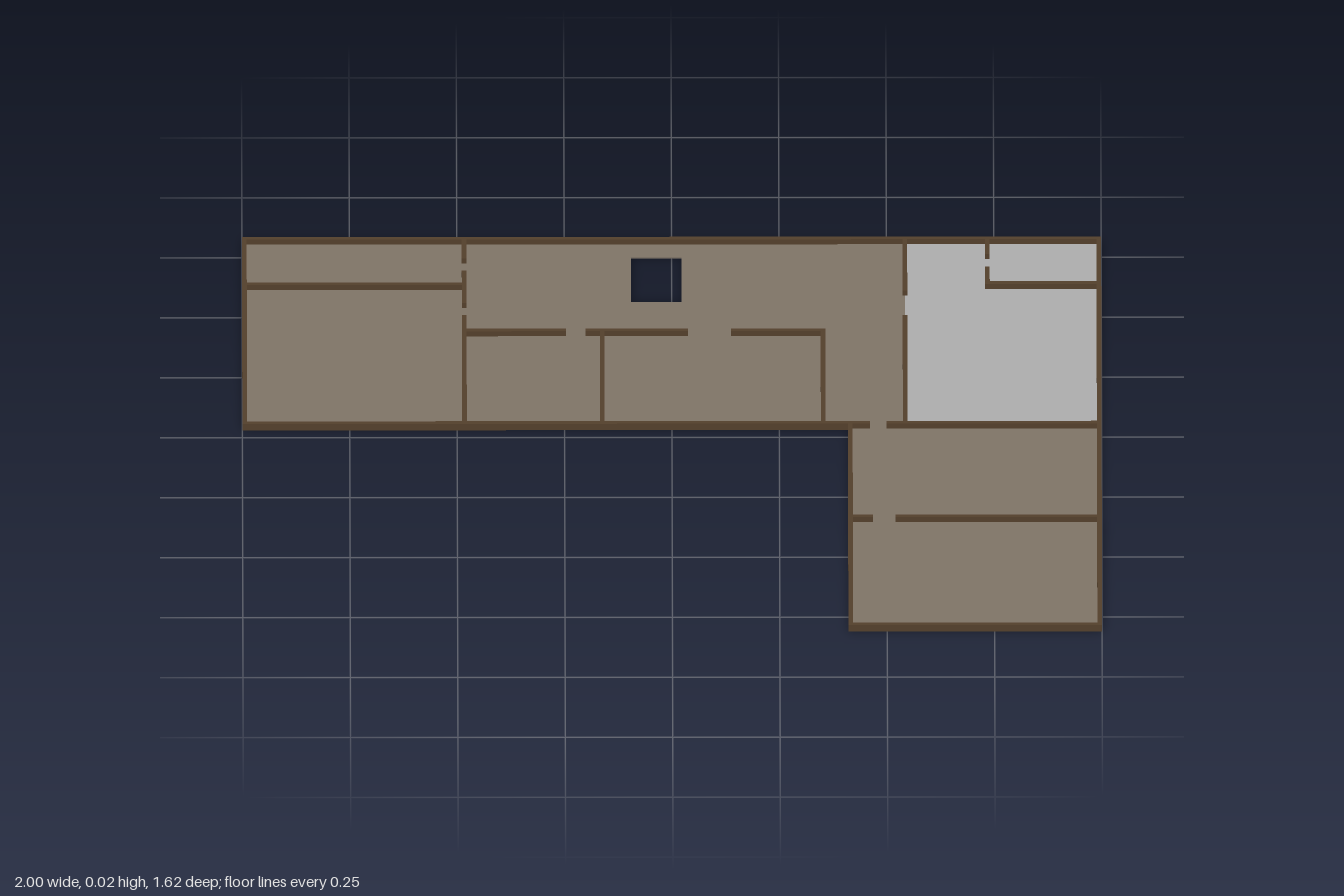
import * as THREE from 'three';

const material = (name, color) => Object.assign(new THREE.MeshStandardMaterial({ color }), { name });

const HEIGHT = 0.018; // wall height
const THICK = 0.011; // wall thickness
const SLAB = 0.004; // floor thickness

// Floor slab from an outline in [x, z], with an optional opening
function floor(name, outline, mat, opening) {
  const points = (list) => list.map(([x, z]) => new THREE.Vector2(x, z));
  const shape = new THREE.Shape(points(outline));
  if (opening) shape.holes.push(new THREE.Path(points(opening)));
  const geometry = new THREE.ExtrudeGeometry(shape, { depth: SLAB, bevelEnabled: false });
  geometry.rotateX(Math.PI / 2).translate(0, SLAB, 0);
  const mesh = new THREE.Mesh(geometry, mat);
  mesh.name = name;
  return mesh;
}

export function createModel() {
  const model = new THREE.Group();
  model.name = 'floorPlan';
  const brownFloor = material('brown floor', 0x7e7366);
  const greyFloor = material('grey floor', 0xacacac);
  const wallBrown = material('wall brown', 0x533f2b);

  // Floors: L-shaped brown area with a stair opening, and the grey corner room
  model.add(floor('mainFloor', [
    [-0.998, -0.808], [0.543, -0.808], [0.543, -0.035], [0.998, -0.035],
    [0.998, 0.808], [0.415, 0.808], [0.415, -0.035], [-0.998, -0.035],
  ], brownFloor, [[-0.095, -0.747], [-0.095, -0.558], [0.023, -0.558], [0.023, -0.747]]));
  model.add(floor('greyRoomFloor',
    [[0.543, -0.808], [0.998, -0.808], [0.998, -0.035], [0.543, -0.035]], greyFloor));

  const addWall = (name, x, z, width, depth) => {
    const wall = new THREE.Mesh(new THREE.BoxGeometry(width, HEIGHT, depth), wallBrown);
    wall.position.set(x, HEIGHT / 2, z);
    wall.name = name;
    model.add(wall);
  };

  // Walls running along x: [z, start, end, start, end, ...], doorways are the gaps
  const E = 0.9945; // centre line of the outer side walls
  const B = 0.8045; // centre line of the outer end walls
  const alongX = [
    ['backWall', -B, -E, E],
    ['middleFrontWall', -0.036, -E, 0.455, 0.505, E],
    ['wingFrontWall', B, 0.415, E],
    ['wingPartition', 0.354, 0.415, 0.462, 0.525, E],
    ['leftRoomPartition', -0.615, -E, -0.483],
    ['corridorWall', -0.422, -0.483, -0.252, -0.195, 0.032, 0.143, 0.352],
    ['closetFrontWall', -0.618, 0.735, E],
  ];
  // Walls running along z: [x, start, end, ...]
  const alongZ = [
    ['leftWall', -E, -B, -0.036],
    ['rightWall', E, -B, B],
    ['wingLeftWall', 0.415, -0.036, B],
    ['leftRoomsWall', -0.483, -B, -0.725, -0.665, -0.54, -0.478, -0.036],
    ['smallRoomDivider', -0.162, -0.422, -0.036],
    ['smallRoomEndWall', 0.352, -0.422, -0.036],
    ['greyRoomWall', 0.543, -B, -0.59, -0.478, -0.036],
    ['closetSideWall', 0.735, -B, -0.742, -0.68, -0.618],
  ];
  // Each run reaches half a thickness past its ends so the corners close
  const addRuns = (walls, isX) => walls.forEach(([name, at, ...ends]) => {
    for (let i = 0; i < ends.length; i += 2) {
      const mid = (ends[i] + ends[i + 1]) / 2;
      const length = ends[i + 1] - ends[i] + THICK;
      if (isX) addWall(name, mid, at, length, THICK);
      else addWall(name, at, mid, THICK, length);
    }
  });
  addRuns(alongX, true);
  addRuns(alongZ, false);

  return model;
}
